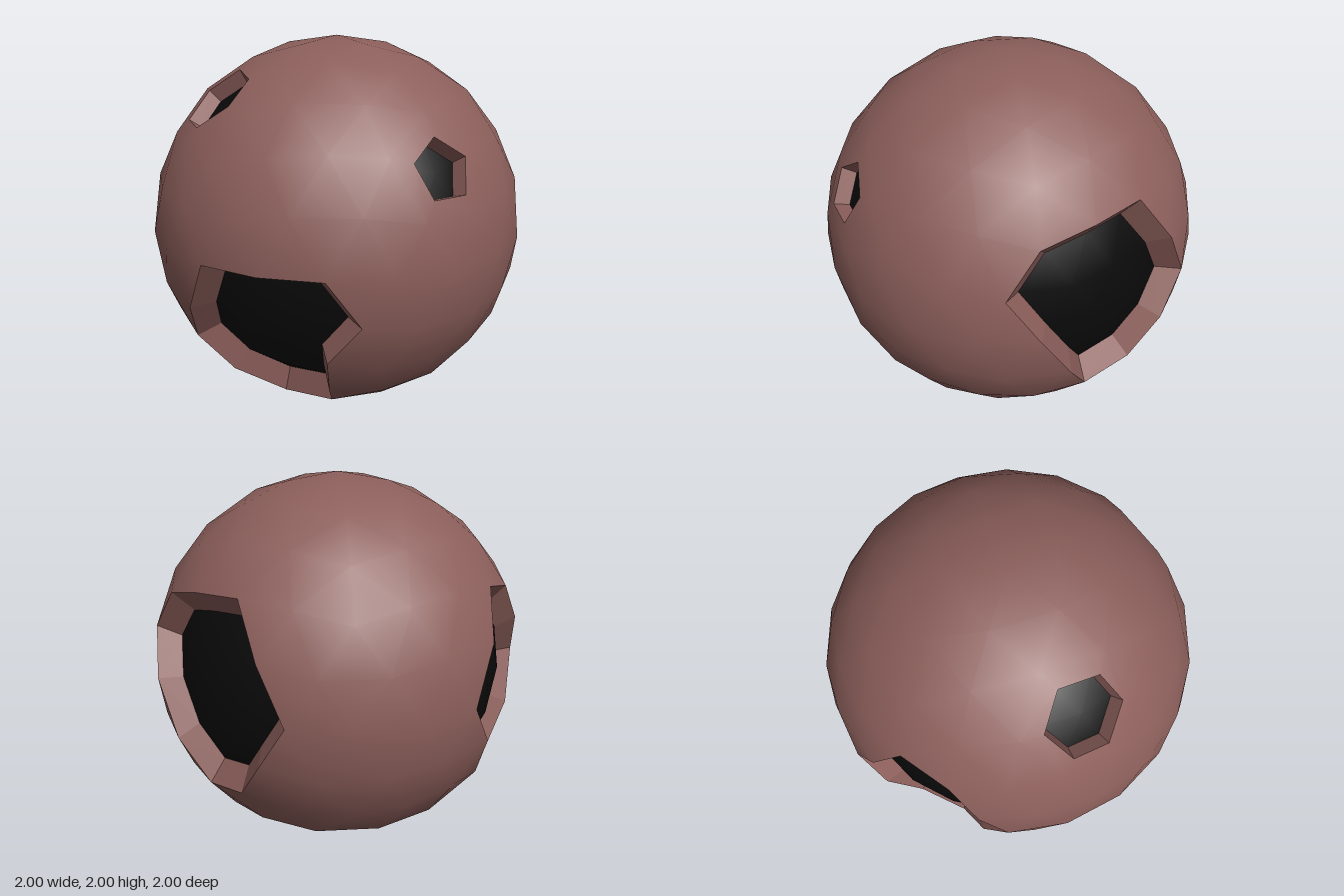
import * as THREE from 'three';

const V = (x, y, z) => new THREE.Vector3(x, y, z);
const skin = new THREE.MeshStandardMaterial({ color: 0x8c5f5b });
const dark = new THREE.MeshStandardMaterial({ color: 0x0a0a0a });

// Large craters: corner directions of each rim on the unit sphere
const craters = {
  leftCrater: [[.959, .232, .161], [.894, .447, 0], [.688, .526, -.5], [.588, 0, -.809],
    [.724, -.447, -.526], [.81, -.5, -.309]],
  frontCrater: [[-.809, 0, .588], [-.309, 0, .951], [-.144, -.232, .962], [-.276, -.447, .851],
    [-.1625, -.851, .5], [-.362, -.894, .263], [-.638, -.724, .263], [-.823, -.506, .26], [-.862, -.276, .425]],
  backCrater: [[-.724, .447, -.526], [-.5, .5, -.7], [-.309, 0, -.951], [-.5, -.5, -.7],
    [-.688, -.526, -.5], [-.862, -.276, -.425], [-.951, 0, -.309]],
  bottomCrater: [[.597, -.675, -.434], [.362, -.724, -.588], [.053, -.724, -.688], [-.1625, -.851, -.5],
    [0, -1, 0], [.425, -.851, .309], [.671, -.724, .162], [.671, -.724, -.162]],
};

// Small pits: a sphere vertex cut off at a fraction of its edges
const pits = {
  frontPit: { at: V(.276, .447, .851), cut: .58 },
  topPit: { at: V(-.671, .724, .162), cut: .66 },
};

// Icosphere with a vertex at each pole, split twice
function icosphere() {
  const verts = [V(0, 1, 0), V(0, -1, 0)];
  let faces = [];
  const h = 1 / Math.sqrt(5);
  for (let i = 0; i < 5; i++) {
    const t = i * Math.PI * 0.4, s = t + Math.PI / 5;
    verts.push(V(2 * h * Math.cos(t), h, 2 * h * Math.sin(t)));
    verts.push(V(2 * h * Math.cos(s), -h, 2 * h * Math.sin(s)));
  }
  for (let i = 0; i < 5; i++) {
    const j = (i + 1) % 5, u0 = 2 + 2 * i, u1 = 2 + 2 * j, l0 = u0 + 1, l1 = u1 + 1;
    faces.push([0, u1, u0], [u0, u1, l0], [l0, u1, l1], [1, l0, l1]);
  }
  for (let step = 0; step < 2; step++) {
    const cache = new Map();
    const mid = (a, b) => {
      const key = Math.min(a, b) + '_' + Math.max(a, b);
      if (!cache.has(key)) {
        cache.set(key, verts.length);
        verts.push(verts[a].clone().add(verts[b]).normalize());
      }
      return cache.get(key);
    };
    faces = faces.flatMap(([a, b, c]) => {
      const ab = mid(a, b), bc = mid(b, c), ca = mid(c, a);
      return [[a, ab, ca], [ab, b, bc], [ca, bc, c], [ab, bc, ca]];
    });
  }
  return { verts, faces };
}

const average = (pts) => pts.reduce((s, p) => s.add(p), V(0, 0, 0)).divideScalar(pts.length);

// True where direction q lies within the fan of a rim around its middle
function inside(q, rim) {
  const c = average(rim);
  const side = (a, b) => Math.sign(a.clone().cross(b).dot(q));
  return q.dot(c) > 0 && rim.some((a, i) => {
    const b = rim[(i + 1) % rim.length];
    const s = side(c, a);
    return s === side(a, b) && s === side(b, c);
  });
}

// Mesh from a flat list of triangle corners; round = sphere normals
function mesh(name, pts, material, round) {
  const g = new THREE.BufferGeometry().setFromPoints(pts);
  if (round) {
    const n = pts.flatMap((p) => p.clone().normalize().toArray());
    g.setAttribute('normal', new THREE.Float32BufferAttribute(n, 3));
  } else g.computeVertexNormals();
  const m = new THREE.Mesh(g, material);
  m.name = name;
  return m;
}

// Sunken hole: bevelled wall around the rim and a dark curved floor
function hollow(name, tris, edges, taper, depth) {
  const c = average(edges.map((e) => e[0]));
  const sink = (p) => p.clone().sub(c).multiplyScalar(taper).add(c).multiplyScalar(depth);
  const wall = edges.flatMap(([a, b]) => [a, b, sink(b), a, sink(b), sink(a)]);
  const group = new THREE.Group();
  group.name = name;
  group.add(mesh(name + 'Wall', wall, skin, false));
  group.add(mesh(name + 'Floor', tris.flat().map(sink), dark, true));
  return group;
}

export function createModel() {
  const model = new THREE.Group();
  model.name = 'crateredBall';
  const body = new THREE.Group();
  body.position.y = 1;
  model.add(body);

  const { verts, faces } = icosphere();
  let kept = faces;

  // Large craters take out whole faces
  for (const [name, corners] of Object.entries(craters)) {
    const rim = corners.map((p) => V(...p));
    const hit = (f) => inside(average(f.map((i) => verts[i])), rim);
    const gone = kept.filter(hit);
    kept = kept.filter((f) => !hit(f));
    const sides = gone.flatMap(([a, b, c]) => [[a, b], [b, c], [c, a]]);
    const used = new Set(sides.map((e) => e.join('_')));
    const edges = sides.filter(([a, b]) => !used.has(b + '_' + a)).map((e) => e.map((i) => verts[i]));
    body.add(hollow(name, gone.map((f) => f.map((i) => verts[i])), edges, 0.87, 0.9));
  }

  // Small pits trim the corners of the faces around one vertex
  const shell = [];
  const cuts = Object.entries(pits).map(([name, p]) => ({ name, ...p, tris: [], edges: [] }));
  for (const f of kept) {
    const pts = f.map((i) => verts[i]);
    let trimmed = false;
    for (const pit of cuts) {
      const k = pts.findIndex((p) => p.distanceTo(pit.at) < 0.03);
      if (k < 0) continue;
      const [a, b, c] = [0, 1, 2].map((i) => pts[(k + i) % 3]);
      const ab = a.clone().lerp(b, pit.cut), ac = a.clone().lerp(c, pit.cut);
      shell.push(ab, b, c, ab, c, ac);
      pit.tris.push([a, ab, ac]);
      pit.edges.push([ab, ac]);
      trimmed = true;
    }
    if (!trimmed) shell.push(...pts);
  }
  for (const p of cuts) body.add(hollow(p.name, p.tris, p.edges, 0.97, 0.92));

  body.add(mesh('shell', shell, skin, true));
  return model;
}
